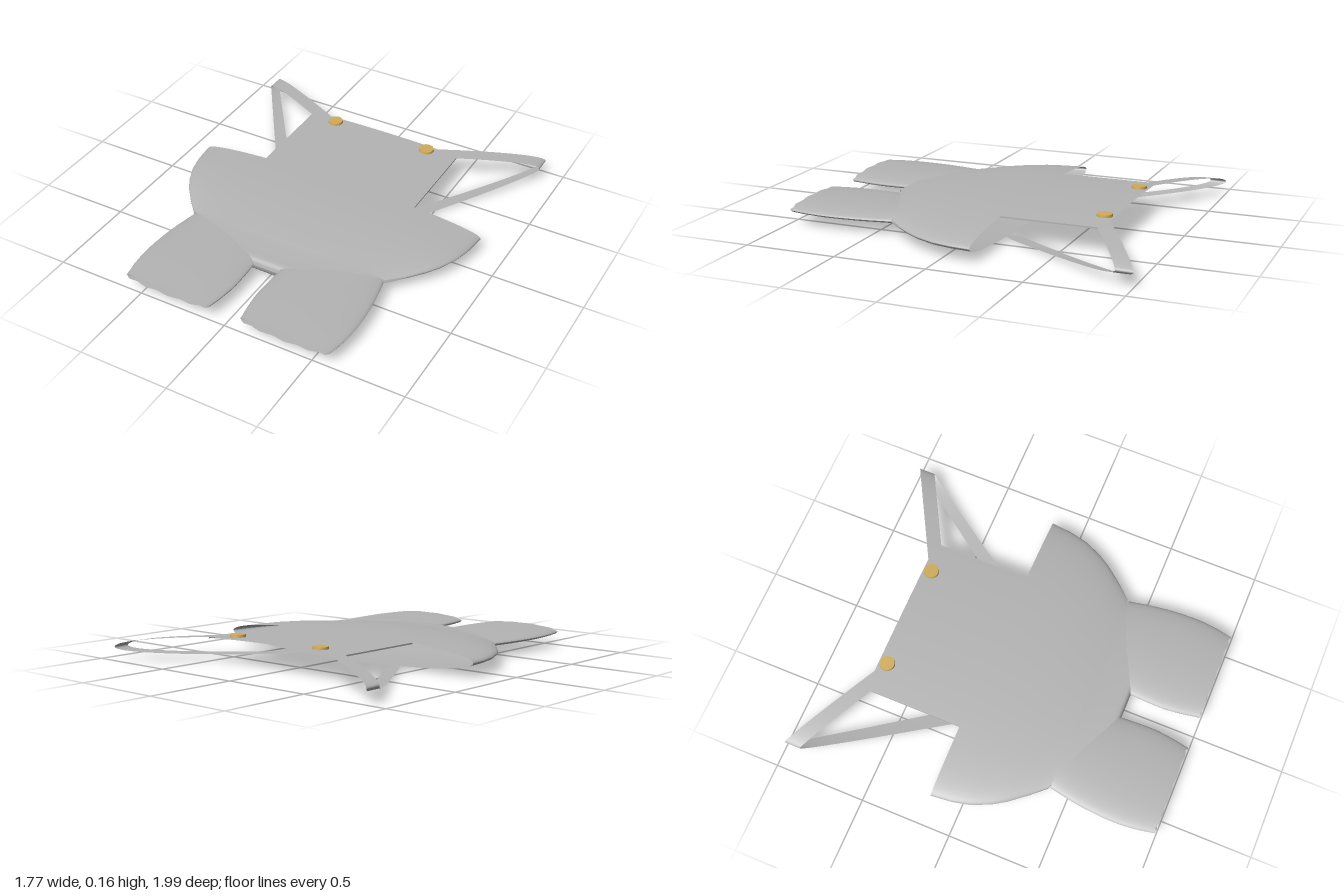
import * as THREE from 'three';

const fabric = new THREE.MeshStandardMaterial({ color: 0xb4b4b4, side: THREE.DoubleSide });
fabric.name = 'grey fabric';
const brass = new THREE.MeshStandardMaterial({ color: 0xd0ac5c });
brass.name = 'brass';

const MID = 0.081; // height of the garment's middle plane

// Linear lookup in a list of [key, value, value...] rows.
function lookup(rows, k) {
  let i = 0;
  while (i < rows.length - 2 && k > rows[i + 1][0]) i++;
  const a = rows[i], b = rows[i + 1];
  const t = THREE.MathUtils.clamp((k - a[0]) / (b[0] - a[0]), 0, 1);
  return a.map((v, j) => v + (b[j] - v) * t);
}

// Smooth surface from a function of u and v, both 0..1.
function sheet(name, fn, nu, nv, flip = false) {
  const pos = [], idx = [];
  for (let j = 0; j <= nv; j++) {
    for (let i = 0; i <= nu; i++) pos.push(...fn(i / nu, j / nv));
  }
  for (let j = 0; j < nv; j++) {
    for (let i = 0; i < nu; i++) {
      const a = j * (nu + 1) + i, b = a + 1, c = a + nu + 1, d = c + 1;
      if (flip) idx.push(a, b, c, b, d, c);
      else idx.push(a, c, b, b, c, d);
    }
  }
  const g = new THREE.BufferGeometry();
  g.setAttribute('position', new THREE.Float32BufferAttribute(pos, 3));
  g.setIndex(idx);
  g.computeVertexNormals();
  const m = new THREE.Mesh(g, fabric);
  m.name = name;
  return m;
}

const arch = (x, w) => Math.sqrt(Math.max(0, 1 - (x / w) ** 2));

// Body rows: z, half width, half width of the lens section, half height
const BODY = [
  [-0.165, 0.855, 0.855, 0.075], [-0.05, 0.843, 0.843, 0.075], [0.05, 0.82, 0.82, 0.073],
  [0.15, 0.775, 0.775, 0.069], [0.22, 0.73, 0.73, 0.065], [0.3, 0.665, 0.665, 0.059],
  [0.39, 0.58, 0.59, 0.051], [0.42, 0.5, 0.59, 0.047], [0.45, 0.4, 0.59, 0.044],
  [0.49, 0.3, 0.59, 0.041], [0.54, 0.2, 0.59, 0.038], [0.58, 0.115, 0.59, 0.036],
  [0.597, 0.085, 0.59, 0.028], [0.605, 0.07, 0.59, 0],
];

function bodyHalf(name, side) {
  return sheet(name, (u, v) => {
    const f = v * (BODY.length - 1), i = Math.min(Math.floor(f), BODY.length - 2);
    const z = BODY[i][0] + (BODY[i + 1][0] - BODY[i][0]) * (f - i);
    const [, w, lens, h] = lookup(BODY, z);
    const x = w * Math.sin((u - 0.5) * Math.PI);
    return [x, MID + side * h * arch(x, lens), z];
  }, 48, (BODY.length - 1) * 2, side < 0);
}

// Leg rows: z, inner x, outer x, half height
const LEG = [
  [0.4, 0.1, 0.575, 0.033], [0.5, 0.08, 0.595, 0.033], [0.6, 0.07, 0.61, 0.034],
  [0.7, 0.064, 0.618, 0.034], [0.8, 0.062, 0.62, 0.034], [0.9, 0.074, 0.61, 0.033],
  [0.99, 0.09, 0.592, 0.031],
];

function leg(s) {
  const ring = (u, z, scale, dz = 0) => {
    const [, a, b, h] = lookup(LEG, z);
    const t = u * Math.PI * 2;
    return [s * ((a + b) / 2 + scale * (b - a) / 2 * Math.cos(t)), MID + scale * h * Math.sin(t), z + dz];
  };
  const crimp = (u, v) => (v > 0.999 ? 0.005 * Math.sin(u * Math.PI * 22) : 0);
  const group = new THREE.Group();
  group.name = s > 0 ? 'leftLeg' : 'rightLeg';
  group.add(sheet('legCloth', (u, v) => ring(u, 0.4 + 0.59 * v, 1, crimp(u, v)), 44, 14, s < 0));
  // lining narrows away from the hem
  group.add(sheet('legLining', (u, v) => ring(u, 0.5 + 0.49 * v, 0.58 + 0.4 * v, crimp(u, v)), 44, 8, s > 0));
  return group;
}

// Ribbon running from the bib, round the shoulder fold, to the back waist
function strap(s) {
  const W = 0.885, H = 0.08;
  const start = Math.acos(0.31 / W), end = -Math.acos(0.33 / W);
  return sheet(s > 0 ? 'leftStrap' : 'rightStrap', (u, v) => {
    const t = start + (end - start) * v;
    const x = W * Math.cos(t), k = W - x;
    const far = t > 0 ? -1 + k * 0.55 : -1 + k * 1.4;
    const near = t > 0 ? -0.91 + k * 0.55 : -0.91 + k * 1.5;
    return [s * x, MID + H * Math.sin(t), Math.min(-0.15, far + (near - far) * u)];
  }, 2, 48, s > 0);
}

// Cloth panel lying on the curved front
function panel(name, halfW, z0, z1, lift) {
  return sheet(name, (u, v) => {
    const x = halfW * (2 * u - 1);
    return [x, MID + lift + 0.075 * arch(x, 0.855), z0 + (z1 - z0) * v];
  }, 24, 6);
}

export function createModel() {
  const model = new THREE.Group();
  model.name = 'dungarees';
  model.add(bodyHalf('bodyFront', 1), bodyHalf('bodyBack', -1));

  // bib with a turned-under edge
  model.add(panel('bib', 0.465, -0.71, -0.16, 0), panel('bibLining', 0.462, -0.705, -0.16, -0.007));
  for (const s of [-1, 1]) {
    const edge = new THREE.Mesh(new THREE.BoxGeometry(0.006, 0.008, 0.55), fabric);
    edge.name = 'bibSideEdge';
    edge.position.set(s * 0.462, MID + 0.059, -0.435);
    model.add(edge);
  }
  model.add(panel('bibPocket', 0.163, -0.512, -0.287, 0.004));

  for (const s of [-1, 1]) {
    model.add(leg(s), strap(s));
    const button = new THREE.Mesh(new THREE.CylinderGeometry(0.04, 0.042, 0.014, 28), brass);
    button.name = s > 0 ? 'leftButton' : 'rightButton';
    button.position.set(s * 0.293, 0.162, -0.662);
    button.rotation.z = -s * 0.03;
    model.add(button);
  }
  return model;
}
